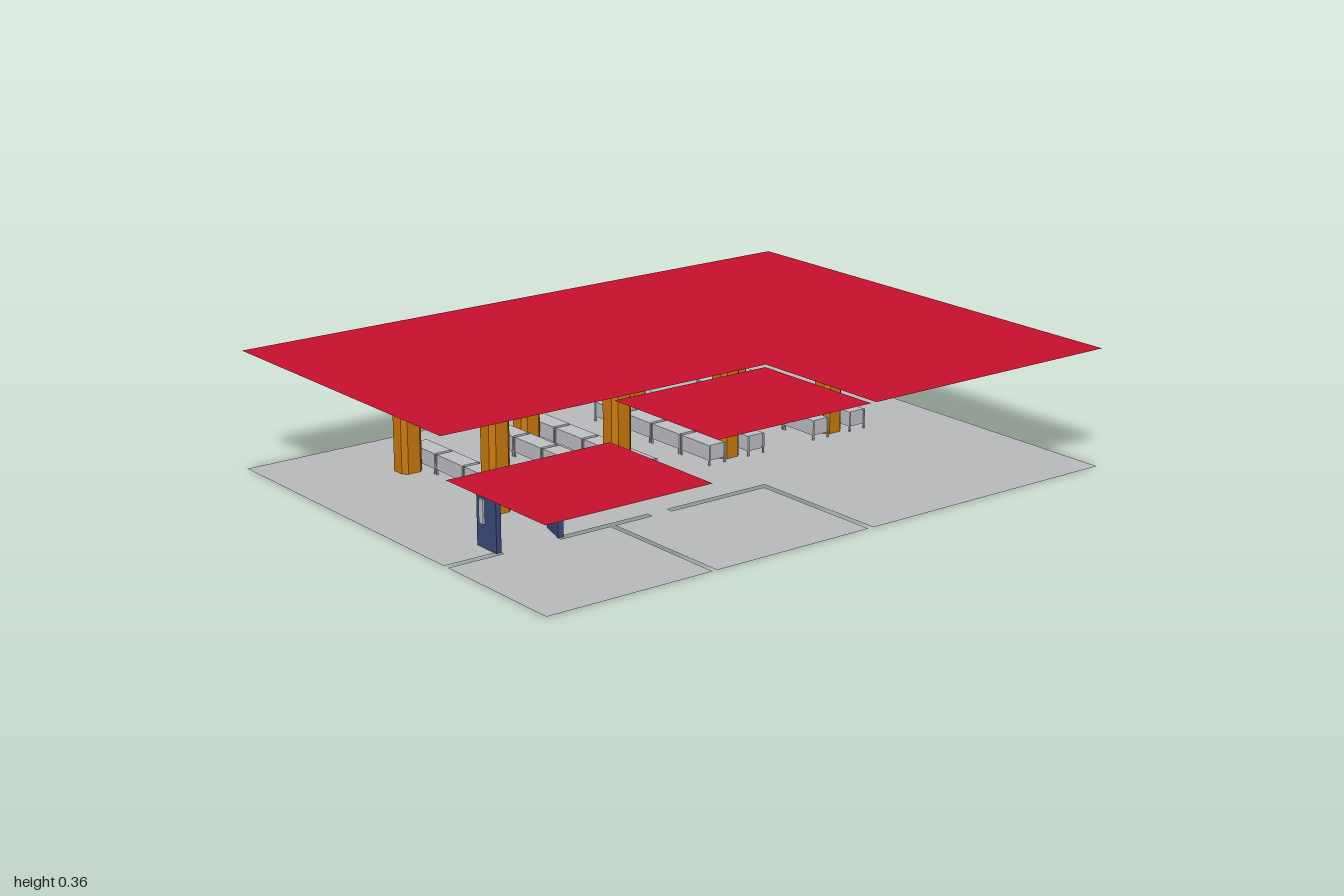
import * as THREE from 'three';

const mat = (name, color, side = THREE.FrontSide) => {
  const m = new THREE.MeshStandardMaterial({ color, side });
  m.name = name;
  return m;
};

export function createModel() {
  const model = new THREE.Group();
  model.name = 'hall';
  const red = mat('ceiling red', 0xc8102e, THREE.DoubleSide);
  const grey = mat('floor grey', 0xb9bbbd, THREE.DoubleSide);
  const benchGrey = mat('bench grey', 0xc0c1c5);
  const orange = mat('column orange', 0xcc7a0c);
  const navy = mat('door navy', 0x3c4a7c);

  const add = (parent, name, geo, material, x = 0, y = 0, z = 0) => {
    const mesh = new THREE.Mesh(geo, material);
    mesh.name = name;
    mesh.position.set(x, y, z);
    parent.add(mesh);
    return mesh;
  };
  const box = (parent, name, m, w, h, d, x, y, z) =>
    add(parent, name, new THREE.BoxGeometry(w, h, d), m, x, y, z);

  // Flat sheet from (x, z) corners, facing up
  const sheet = (name, m, y, pts) => {
    const shape = new THREE.Shape(pts.map(([x, z]) => new THREE.Vector2(x, -z)));
    return add(model, name, new THREE.ShapeGeometry(shape).rotateX(-Math.PI / 2), m, 0, y, 0);
  };
  const rect = (x0, x1, z0, z1) => [[x0, z0], [x0, z1], [x1, z1], [x1, z0]];

  const D = 0.763, hallZ = 0.29, roomZ = 0.31;
  const hall = [[-1, -D], [-1, hallZ], [0.113, hallZ], [0.113, D], [1, D], [1, -D]];
  const roomA = rect(-1, -0.46, roomZ, D);
  const roomB = rect(-0.444, 0.094, roomZ, D);

  // Floor, with slots where the walls stand and strips in the doorways
  sheet('hallFloor', grey, 0, hall);
  sheet('cornerRoomFloor', grey, 0, roomA);
  sheet('middleRoomFloor', grey, 0, roomB);
  sheet('doubleDoorway', grey, 0, rect(-0.82, -0.63, hallZ, roomZ));
  sheet('singleDoorway', grey, 0, rect(-0.315, -0.245, hallZ, roomZ));

  // Ceilings; the corner room is lower
  sheet('hallCeiling', red, 0.363, hall);
  sheet('middleRoomCeiling', red, 0.363, roomB);
  sheet('cornerRoomCeiling', red, 0.246, roomA);

  // Columns with chamfered corners
  const a = 0.035, c = 0.021;
  const section = new THREE.Shape([
    [a, -c], [a, c], [c, a], [-c, a], [-a, c], [-a, -c], [-c, -a], [c, -a],
  ].map(([x, y]) => new THREE.Vector2(x, y)));
  const columnGeo = new THREE.ExtrudeGeometry(section, { depth: 0.362, bevelEnabled: false })
    .rotateX(-Math.PI / 2);
  for (const x of [-0.632, -0.205, 0.2, 0.606])
    for (const z of [0, -0.46]) add(model, 'column', columnGeo, orange, x, 0, z);

  // Rows of four benches on slim end legs
  for (const x of [-0.559, -0.281, -0.131, 0.126, 0.275, 0.532, 0.68]) {
    const row = new THREE.Group();
    row.name = 'benchRow';
    row.position.x = x;
    model.add(row);
    for (let i = 0; i < 4; i++) {
      const z = -0.014 - i * 0.145;
      box(row, 'benchSeat', benchGrey, 0.06, 0.047, 0.132, 0, 0.0385, z);
      for (const sx of [-1, 1])
        for (const sz of [-1, 1])
          box(row, 'benchLeg', benchGrey, 0.005, 0.062, 0.005, sx * 0.029, 0.031, z + sz * 0.067);
    }
  }

  // Double doors standing open into the hall
  const door = (name, x, angle) => {
    const g = new THREE.Group();
    g.name = name;
    g.position.set(x, 0, 0.3);
    g.rotation.y = angle;
    model.add(g);
    box(g, 'doorLeaf', navy, 0.016, 0.18, 0.093, 0, 0.09, -0.0465);
    for (const s of [-1, 1])
      box(g, 'doorHandle', benchGrey, 0.006, 0.07, 0.02, s * 0.011, 0.105, -0.064);
  };
  door('rightDoor', -0.828, 0);
  door('leftDoor', -0.622, -0.28);

  return model;
}
